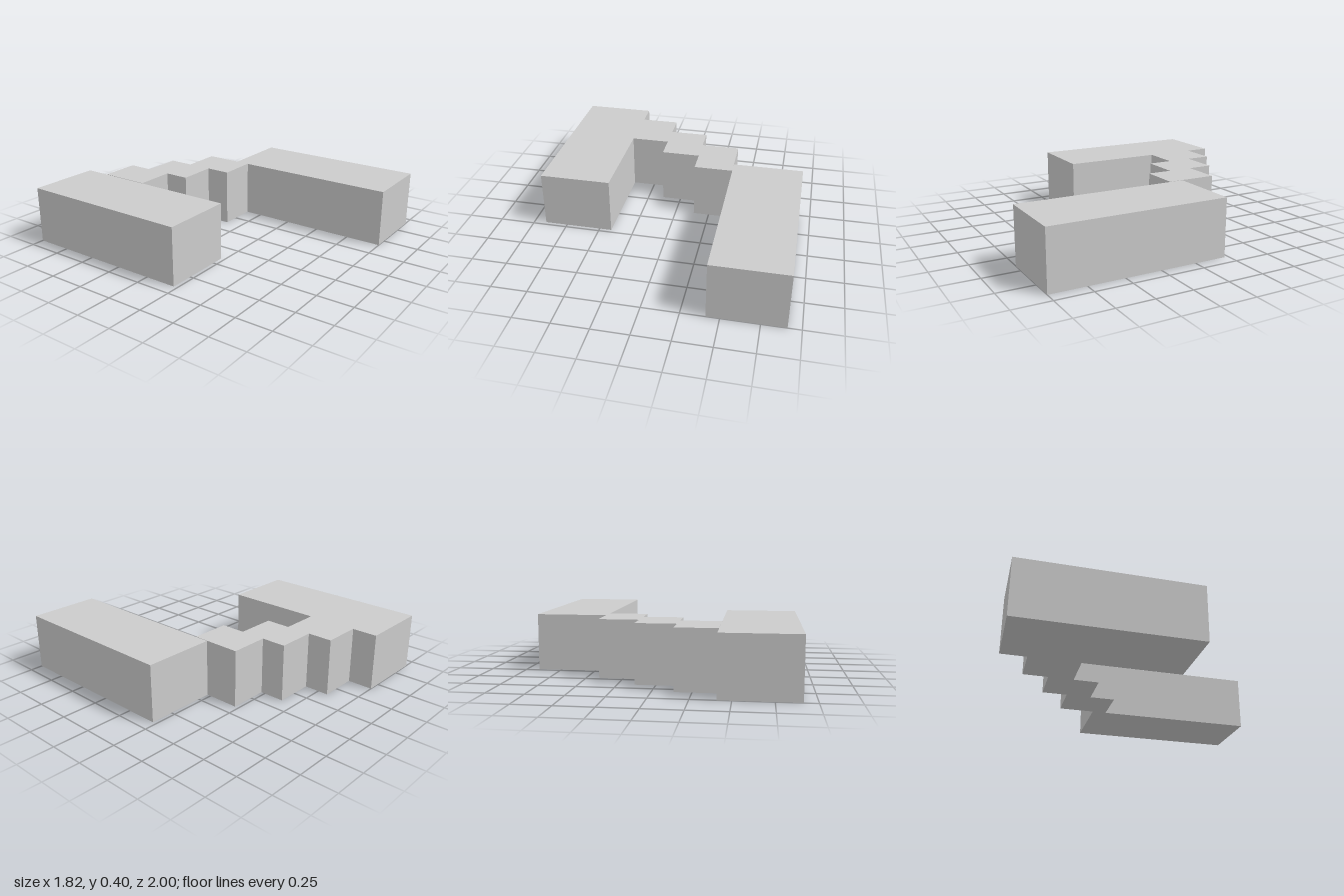
import * as THREE from 'three';

const material = new THREE.MeshStandardMaterial({ color: 0xcccccc, flatShading: true });

const WING = { width: 0.5, length: 1.222, height: 0.398 };
const HALF = 0.912; // half of the overall width
const LINK = { height: 0.4, steps: 3, depth: 0.35, shift: 0.175, back: -0.822 };

// Long block on one side; the two are staggered front to back
function makeWing(name, side) {
  const mesh = new THREE.Mesh(new THREE.BoxGeometry(WING.width, WING.height, WING.length), material);
  mesh.name = name;
  mesh.position.set(side * (HALF - WING.width / 2), WING.height / 2, side * (1 - WING.length / 2));
  return mesh;
}

// Staircase-shaped plan joining the two wings, extruded upward
function makeLink() {
  const start = -(HALF - WING.width);
  const run = (-2 * start) / LINK.steps;
  const backEdge = [];
  const frontEdge = [];
  for (let i = 0; i < LINK.steps; i++) {
    const x0 = start + i * run;
    const z = LINK.back + i * LINK.shift;
    backEdge.push(new THREE.Vector2(x0, -z), new THREE.Vector2(x0 + run, -z));
    frontEdge.push(
      new THREE.Vector2(x0, -z - LINK.depth),
      new THREE.Vector2(x0 + run, -z - LINK.depth)
    );
  }
  const plan = new THREE.Shape([...frontEdge, ...backEdge.reverse()]);
  const geometry = new THREE.ExtrudeGeometry(plan, { depth: LINK.height, bevelEnabled: false });
  geometry.rotateX(-Math.PI / 2);
  const mesh = new THREE.Mesh(geometry, material);
  mesh.name = 'steppedLink';
  return mesh;
}

export function createModel() {
  const model = new THREE.Group();
  model.name = 'steppedBuilding';
  model.add(makeWing('rightWing', -1), makeWing('leftWing', 1), makeLink());
  return model;
}
